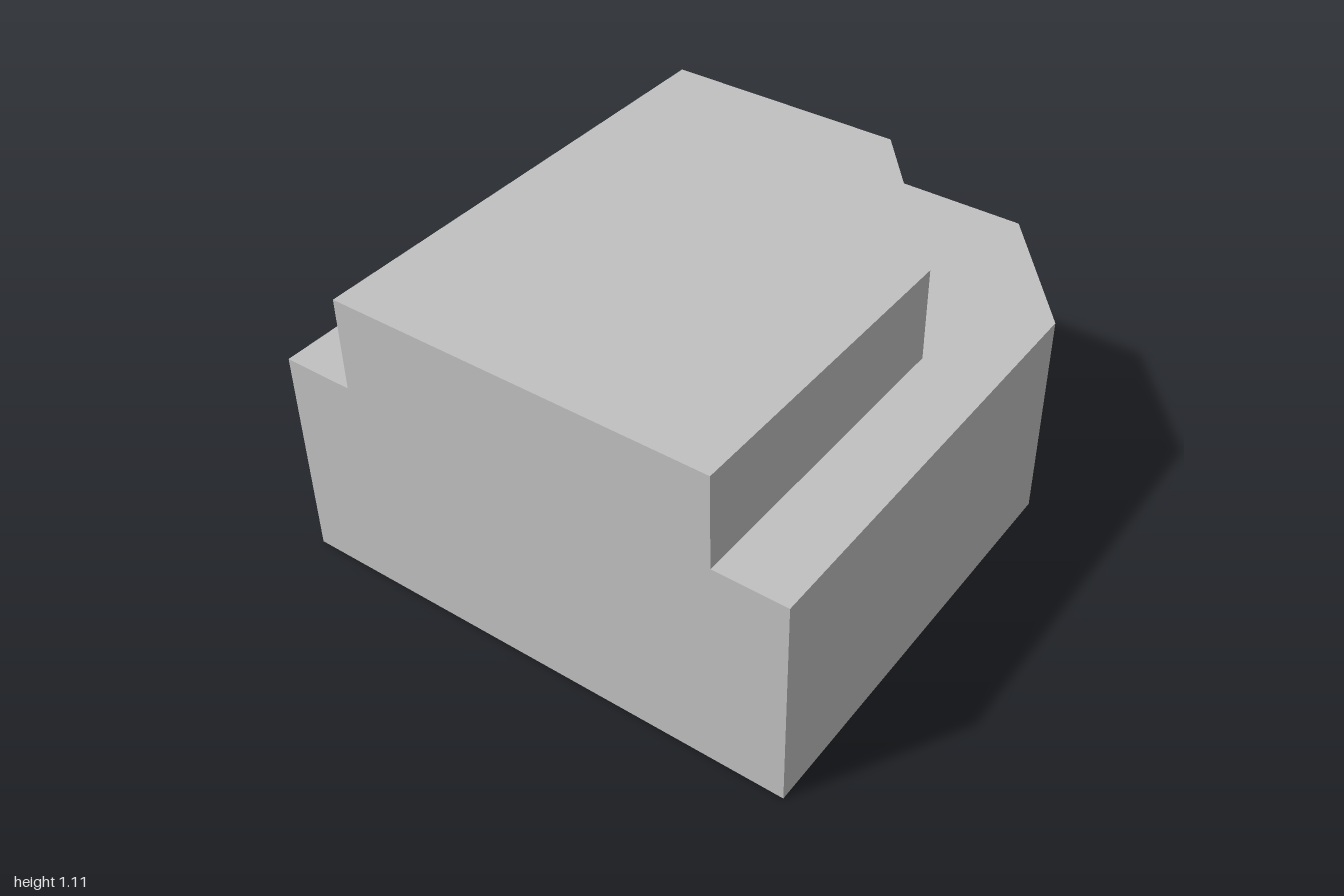
import * as THREE from 'three';

const wall = new THREE.MeshStandardMaterial({ color: 0xc0c0c0 });
wall.name = 'light grey';

// Upright prism from a plan outline of [x, z] corners
function prism(name, plan, bottom, top) {
  const shape = new THREE.Shape(plan.map(([x, z]) => new THREE.Vector2(x, z)));
  const geometry = new THREE.ExtrudeGeometry(shape, { depth: top - bottom, bevelEnabled: false });
  geometry.rotateX(Math.PI / 2).translate(0, top, 0);
  const mesh = new THREE.Mesh(geometry, wall);
  mesh.name = name;
  return mesh;
}

export function createModel() {
  const model = new THREE.Group();
  model.name = 'steppedBuilding';

  // Wide lower storey with two cut corners
  model.add(prism('lowerStorey', [
    [-1, 0.933], [0.545, 0.933], [1, 0.567], [1, -0.812], [0.737, -0.933], [-1, -0.933],
  ], 0, 0.778));

  // Set-back upper storey with one cut corner, flush on the right side
  model.add(prism('upperStorey', [
    [-1, 0.677], [0.14, 0.677], [0.737, 0.185], [0.733, -0.677], [-1, -0.677],
  ], 0.778, 1.11));

  return model;
}
